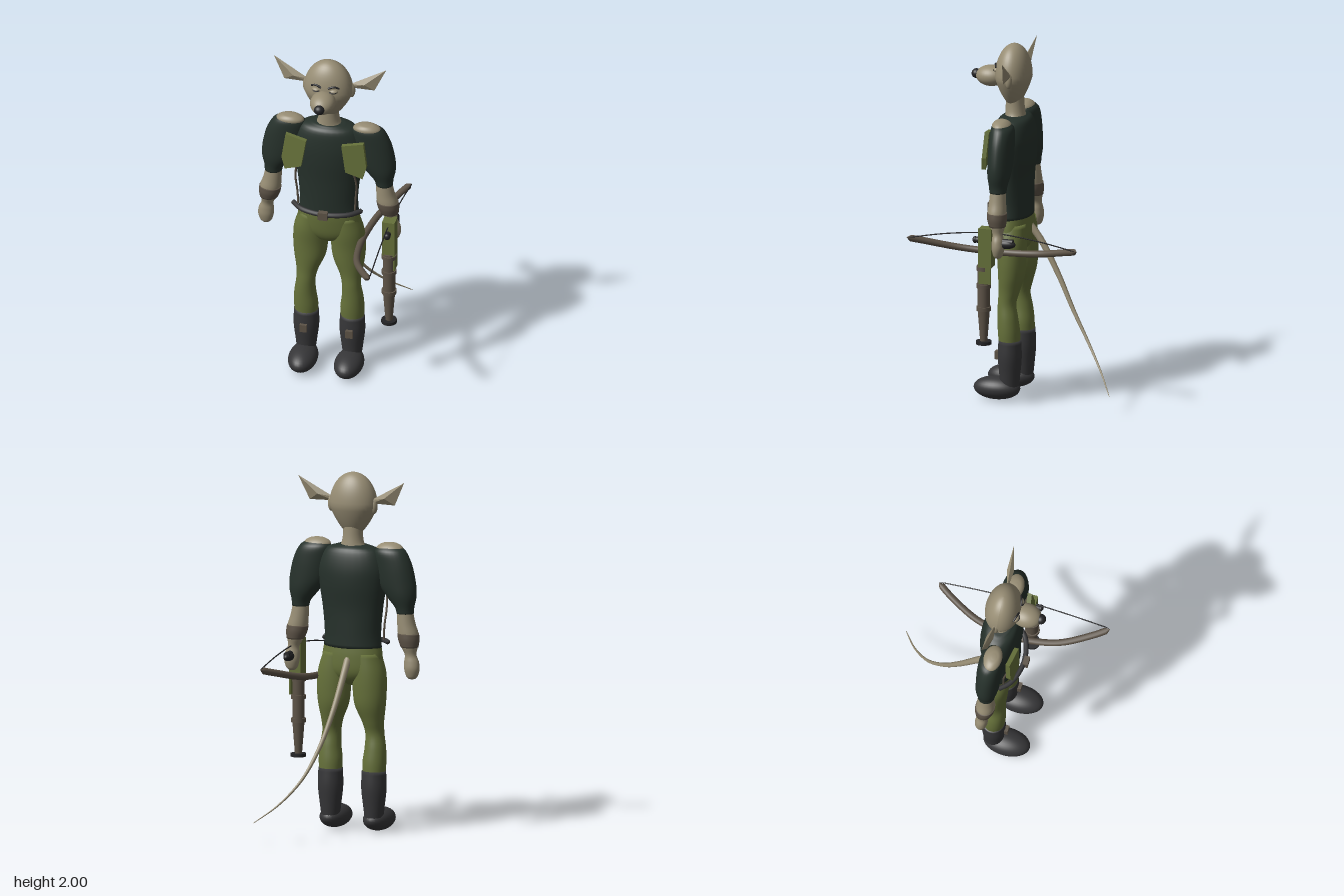
import * as THREE from 'three';
import { ConvexGeometry } from 'three/addons/geometries/ConvexGeometry.js';

const V = (p) => new THREE.Vector3(...p);
const mat = (name, color, side = THREE.FrontSide) => {
  const m = new THREE.MeshStandardMaterial({ color, side });
  m.name = name;
  return m;
};

// Smooth closed body through horizontal ellipses [x, y, z, rx, rz], top to bottom
function loft(rows, seg = 28, sub = 5) {
  const mid = new THREE.CatmullRomCurve3(rows.map((r) => V(r.slice(0, 3))), false, 'catmullrom');
  const rad = new THREE.CatmullRomCurve3(rows.map((r) => V([r[3], r[4], 0])), false, 'catmullrom');
  const n = (rows.length - 1) * sub, pos = [], idx = [];
  for (let i = 0; i <= n; i++) {
    const c = mid.getPoint(i / n), r = rad.getPoint(i / n);
    for (let j = 0; j < seg; j++) {
      const a = (j / seg) * Math.PI * 2;
      pos.push(c.x + Math.max(r.x, 0.002) * Math.cos(a), c.y, c.z + Math.max(r.y, 0.002) * Math.sin(a));
    }
  }
  const first = mid.getPoint(0), last = mid.getPoint(1), t = (n + 1) * seg;
  pos.push(first.x, first.y, first.z, last.x, last.y, last.z);
  for (let j = 0; j < seg; j++) {
    const k = (j + 1) % seg;
    for (let i = 0; i < n; i++) {
      const a = i * seg + j, b = i * seg + k;
      idx.push(a, b, b + seg, a, b + seg, a + seg);
    }
    idx.push(t, k, j, t + 1, n * seg + j, n * seg + k);
  }
  const g = new THREE.BufferGeometry();
  g.setAttribute('position', new THREE.Float32BufferAttribute(pos, 3));
  g.setIndex(idx);
  g.computeVertexNormals();
  return g;
}

// Round tube with closed ends, thinning from r0 to r1
function taperTube(points, r0, r1 = r0, n = 40, sides = 12) {
  const path = new THREE.CatmullRomCurve3(points.map(V));
  const g = new THREE.TubeGeometry(path, n, r0, sides);
  const p = g.attributes.position, v = new THREE.Vector3();
  for (let k = 0; k < p.count; k++) {
    const i = Math.floor(k / (sides + 1)), c = path.getPointAt(i / n);
    const f = i === 0 || i === n ? 0 : 1 + (r1 / r0 - 1) * (i / n);
    v.fromBufferAttribute(p, k).sub(c).multiplyScalar(f).add(c);
    p.setXYZ(k, v.x, v.y, v.z);
  }
  return g;
}

export function createModel() {
  const model = new THREE.Group();
  const skin = mat('skin', 0x978d74), shirt = mat('dark green cloth', 0x26312b);
  const olive = mat('olive cloth', 0x66713a), brown = mat('brown leather', 0x5d5347);
  const boot = mat('charcoal leather', 0x363638), dark = mat('near black', 0x242426);

  const add = (name, geo, m, at = [0, 0, 0], parent = model) => {
    const mesh = new THREE.Mesh(geo, m);
    mesh.name = name;
    mesh.position.set(...at);
    parent.add(mesh);
    return mesh;
  };
  const ball = (name, m, at, s) => add(name, new THREE.SphereGeometry(1, 32, 20).scale(...s), m, at);
  const box = (name, m, at, s) => add(name, new THREE.BoxGeometry(...s), m, at);
  const rod = (name, m, at, rTop, rBottom, h) => add(name, new THREE.CylinderGeometry(rTop, rBottom, h, 24), m, at);

  // Egg-shaped head, narrowing to the chin
  const egg = new THREE.SphereGeometry(1, 40, 28), ep = egg.attributes.position;
  for (let i = 0; i < ep.count; i++) {
    const y = ep.getY(i), f = y < 0 ? 1 + 0.4 * y : 1;
    ep.setXYZ(i, ep.getX(i) * 0.138 * f, y * (y < 0 ? 0.175 : 0.185), ep.getZ(i) * 0.1 * f);
  }
  egg.computeVertexNormals();
  add('head', egg, skin, [0, 1.815, 0.068]);
  ball('muzzle', skin, [0, 1.807, 0.198], [0.07, 0.058, 0.086]);
  ball('nose', dark, [0, 1.812, 0.283], [0.029, 0.027, 0.027]);
  add('neck', loft([[0, 1.72, 0.062, 0.054, 0.05], [0, 1.65, 0.06, 0.056, 0.052],
    [0, 1.6, 0.058, 0.068, 0.056], [0, 1.57, 0.058, 0.1, 0.06]]), skin);

  // Torso and pelvis
  add('shirt', loft([[0, 1.6, 0.06, 0.085, 0.055], [0, 1.57, 0.06, 0.16, 0.09], [0, 1.48, 0.058, 0.2, 0.108],
    [0, 1.38, 0.058, 0.195, 0.11], [0, 1.25, 0.06, 0.176, 0.1], [0, 1.12, 0.06, 0.164, 0.097],
    [0, 1.03, 0.06, 0.168, 0.096]]), shirt);
  add('trouserSeat', loft([[0, 1.05, 0.06, 0.164, 0.094], [0, 0.98, 0.055, 0.176, 0.095],
    [0, 0.9, 0.05, 0.175, 0.088], [0, 0.85, 0.05, 0.11, 0.065], [0, 0.82, 0.05, 0.03, 0.03]]), olive);

  // Belt across the front with its buckle
  add('belt', taperTube([[-0.2, 1.06, 0.09], [-0.13, 1.06, 0.155], [0, 1.06, 0.185],
    [0.13, 1.06, 0.155], [0.2, 1.06, 0.09]], 0.014), boot);
  box('buckle', brown, [0, 1.062, 0.197], [0.052, 0.046, 0.03]);

  for (const s of [1, -1]) {
    const side = s > 0 ? 'left' : 'right';
    const at = (rows) => rows.map(([x, ...rest]) => [x * s, ...rest]);

    // Face and ears
    add(side + 'Ear', new ConvexGeometry(at([[0.115, 1.855, 0.055], [0.115, 1.835, 0.055], [0.255, 1.833, 0.05],
      [0.2, 1.87, 0.028], [0.2, 1.87, 0.068], [0.318, 1.966, 0.035]]).map(V)), skin);
    ball(side + 'EarLobe', skin, [s * 0.128, 1.82, 0.057], [0.02, 0.045, 0.02]);
    add(side + 'Brow', taperTube(at([[0.018, 1.877, 0.161], [0.05, 1.889, 0.156], [0.082, 1.876, 0.145]]), 0.007, 0.005, 16, 8), dark);
    ball(side + 'Eyelid', skin, [s * 0.048, 1.858, 0.15], [0.026, 0.014, 0.02]);
    add(side + 'Eye', taperTube(at([[0.026, 1.859, 0.164], [0.048, 1.855, 0.17], [0.07, 1.859, 0.159]]), 0.004, 0.004, 12, 6), dark);

    // Arm: bare shoulder, sleeve, forearm, bracer and hand
    add(side + 'Shoulder', loft(at([[0.217, 1.622, 0.075, 0.012, 0.01], [0.217, 1.616, 0.074, 0.045, 0.032],
      [0.217, 1.597, 0.07, 0.075, 0.05], [0.22, 1.57, 0.064, 0.08, 0.052]])), skin);
    add(side + 'Sleeve', loft(at([[0.218, 1.6, 0.07, 0.068, 0.046], [0.225, 1.57, 0.062, 0.094, 0.063],
      [0.243, 1.5, 0.06, 0.11, 0.067], [0.265, 1.4, 0.06, 0.11, 0.067], [0.29, 1.33, 0.06, 0.087, 0.063],
      [0.309, 1.27, 0.06, 0.055, 0.051], [0.314, 1.235, 0.06, 0.048, 0.047]])), shirt);
    add(side + 'Forearm', loft(at([[0.312, 1.25, 0.06, 0.044, 0.042], [0.32, 1.18, 0.06, 0.051, 0.047],
      [0.332, 1.12, 0.06, 0.058, 0.051], [0.34, 1.06, 0.055, 0.049, 0.045], [0.35, 1.01, 0.05, 0.033, 0.03],
      [0.357, 0.97, 0.047, 0.042, 0.033], [0.36, 0.93, 0.045, 0.044, 0.035], [0.36, 0.89, 0.045, 0.033, 0.026],
      [0.36, 0.875, 0.045, 0.018, 0.016]])), skin);
    add(side + 'Bracer', loft(at([[0.331, 1.125, 0.06, 0.061, 0.054], [0.336, 1.09, 0.058, 0.06, 0.054],
      [0.342, 1.05, 0.054, 0.05, 0.046]])), brown);

    // Chest flap and the thin strap below it
    const flap = new THREE.Shape([[0.1, 1.525], [0.22, 1.545], [0.24, 1.4], [0.22, 1.33], [0.125, 1.365]]
      .map(([x, y]) => new THREE.Vector2(s * x, y)));
    const plate = new THREE.ExtrudeGeometry(flap, { depth: 0.025, bevelEnabled: false });
    const fp = plate.attributes.position;
    for (let i = 0; i < fp.count; i++) {
      const outer = Math.abs(fp.getX(i)) - 0.1;
      fp.setZ(i, fp.getZ(i) + 0.157 + (1.545 - fp.getY(i)) * 0.09 - outer * 0.13);
    }
    plate.computeVertexNormals();
    add(side + 'ChestFlap', plate, olive);
    add(side + 'Strap', taperTube(at([[0.155, 1.38, 0.165], [0.172, 1.25, 0.13], [0.165, 1.15, 0.115], [0.16, 1.06, 0.115]]), 0.006, 0.006, 24, 8), brown);

    // Leg, boot and clasp
    add(side + 'Leg', loft(at([[0.09, 1.0, 0.053, 0.075, 0.08], [0.102, 0.9, 0.05, 0.095, 0.084],
      [0.107, 0.8, 0.045, 0.097, 0.079], [0.11, 0.71, 0.046, 0.088, 0.073], [0.122, 0.62, 0.056, 0.062, 0.058],
      [0.129, 0.55, 0.066, 0.053, 0.051], [0.134, 0.47, 0.06, 0.06, 0.057], [0.131, 0.39, 0.054, 0.067, 0.061],
      [0.13, 0.31, 0.05, 0.062, 0.058]])), olive);
    add(side + 'Boot', loft(at([[0.13, 0.345, 0.05, 0.068, 0.062], [0.13, 0.25, 0.05, 0.071, 0.066],
      [0.13, 0.15, 0.05, 0.06, 0.058], [0.13, 0.07, 0.052, 0.05, 0.052]])), boot);
    ball(side + 'Shoe', boot, [s * 0.13, 0.067, 0.124], [0.08, 0.064, 0.132]);
    box(side + 'BootClasp', brown, [s * 0.13, 0.255, 0.118], [0.04, 0.045, 0.03]);
  }

  // Tail sweeping back and to the left
  add('tail', taperTube([[-0.005, 1.0, 0.0], [-0.008, 0.9, -0.08], [0.008, 0.71, -0.19], [0.045, 0.52, -0.29],
    [0.105, 0.35, -0.4], [0.2, 0.22, -0.5], [0.32, 0.12, -0.585]], 0.021, 0.002, 60), skin);

  // Crossbow: curved limb and string
  add('bowLimb', taperTube([[0.352, 0.945, -0.405], [0.3, 0.92, -0.32], [0.225, 0.877, -0.15], [0.196, 0.86, 0.02],
    [0.194, 0.86, 0.15], [0.222, 0.877, 0.32], [0.3, 0.92, 0.49], [0.352, 0.945, 0.575]], 0.019), brown);
  add('bowString', taperTube([[0.355, 0.945, -0.4], [0.355, 0.99, -0.16], [0.355, 1.012, 0.085],
    [0.355, 0.99, 0.33], [0.355, 0.945, 0.57]], 0.0035, 0.0035, 40, 6), dark);

  // Crossbow: stock, barrel and rings
  const bx = 0.357, bz = 0.128;
  box('stock', olive, [bx, 0.93, 0.113], [0.07, 0.22, 0.075]);
  box('stockSidePlate', olive, [0.388, 0.885, 0.113], [0.01, 0.315, 0.07]);
  rod('barrel', brown, [bx, 0.7, bz], 0.034, 0.034, 0.26);
  rod('barrelTaper', brown, [bx, 0.485, bz], 0.034, 0.02, 0.18);
  for (const y of [0.81, 0.71, 0.58]) rod('barrelRing', brown, [bx, y, bz], 0.041, 0.041, 0.022);
  rod('barrelFoot', dark, [bx, 0.386, bz], 0.043, 0.043, 0.018);

  // Crossbow: grip held in the hand
  rod('gripRod', dark, [bx, 0.968, 0.07], 0.017, 0.017, 0.22).rotation.x = Math.PI / 2;
  ball('gripTip', dark, [bx, 0.968, 0.178], [0.019, 0.019, 0.014]);
  ball('grip', dark, [bx, 0.955, 0.0], [0.025, 0.025, 0.055]);
  return model;
}
